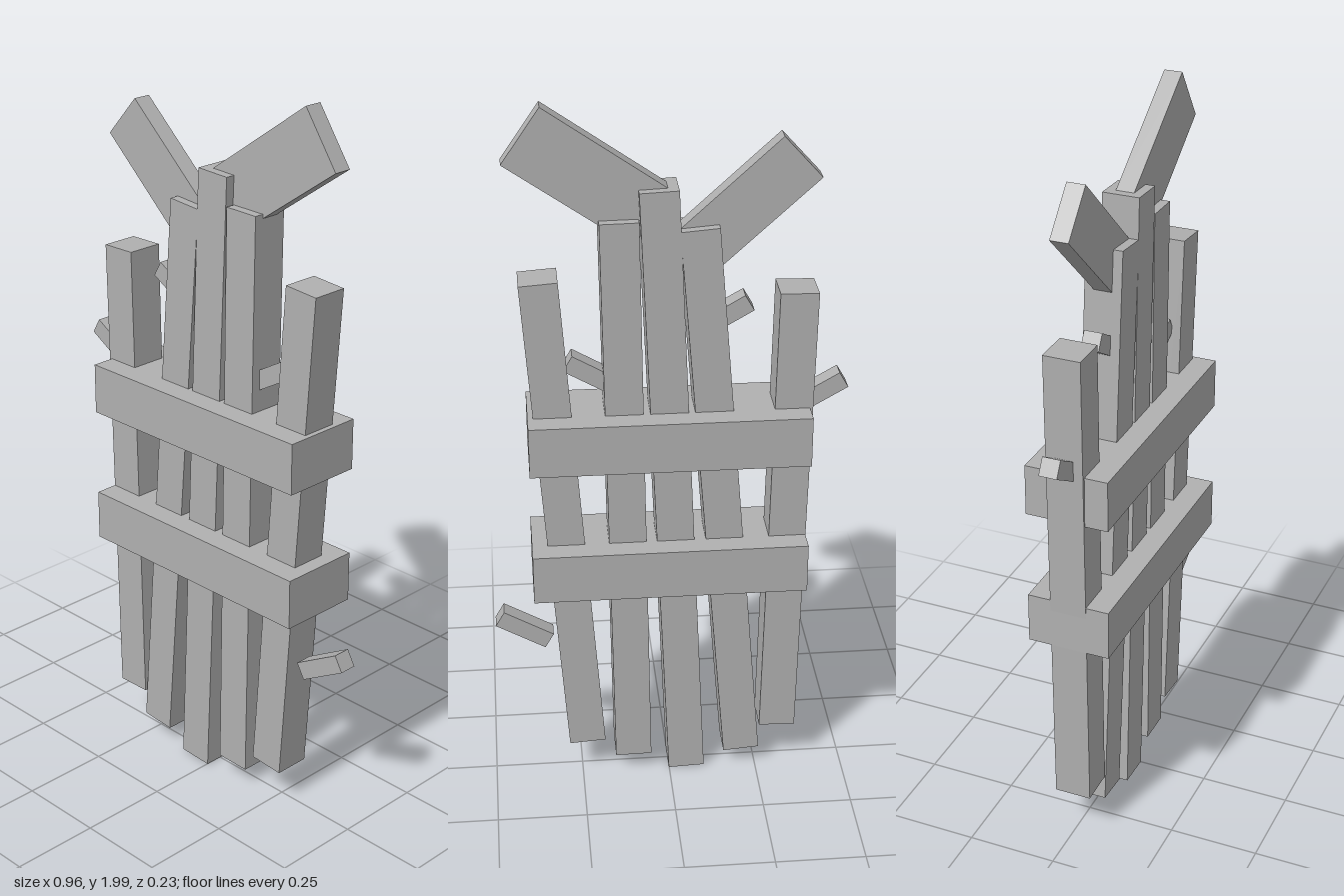
import * as THREE from 'three';

export function createModel() {
  const group = new THREE.Group();
  const grey = new THREE.MeshStandardMaterial({ color: 0xb0b0b0 });
  grey.name = 'plain grey';

  // Box running from one end centre to the other in the x-y plane
  function beam(name, [x0, y0], [x1, y1], width, depth) {
    const dx = x1 - x0, dy = y1 - y0;
    const mesh = new THREE.Mesh(new THREE.BoxGeometry(width, Math.hypot(dx, dy), depth), grey);
    mesh.name = name;
    mesh.position.set((x0 + x1) / 2, (y0 + y1) / 2, 0);
    mesh.rotation.z = Math.atan2(-dx, dy);
    group.add(mesh);
  }

  // Upright stalks: bottom and top centres
  [
    [[-0.312, 0.135], [-0.339, 1.487]],
    [[-0.209, 0.056], [-0.079, 1.67]],
    [[-0.05, 0.004], [0.025, 1.775]],
    [[0.103, 0.056], [0.127, 1.695]],
    [[0.235, 0.11], [0.336, 1.537]],
  ].forEach(([a, b], i) => beam(`stalk${i + 1}`, a, b, 0.102, 0.102));

  // Binding bands around the bundle
  beam('lowerBand', [0, 0.627], [0, 0.768], 0.75, 0.23);
  beam('upperBand', [0, 1.015], [0, 1.157], 0.75, 0.23);

  // Broad leaves at the top
  beam('rightLeaf', [-0.077, 1.607], [-0.341, 1.847], 0.15, 0.05);
  beam('leftLeaf', [0.04, 1.695], [0.368, 1.922], 0.177, 0.05);

  // Small twigs, tilted 30 degrees
  const c = 0.157 * Math.cos(Math.PI / 6), s = 0.157 * 0.5;
  [[-0.468, 1.223, -1], [-0.212, 1.455, -1], [0.265, 1.3, 1], [0.471, 0.523, 1]].forEach(
    ([x, y, side], i) => beam(`twig${i + 1}`, [x - side * c, y - s], [x, y], 0.049, 0.05));

  return group;
}
